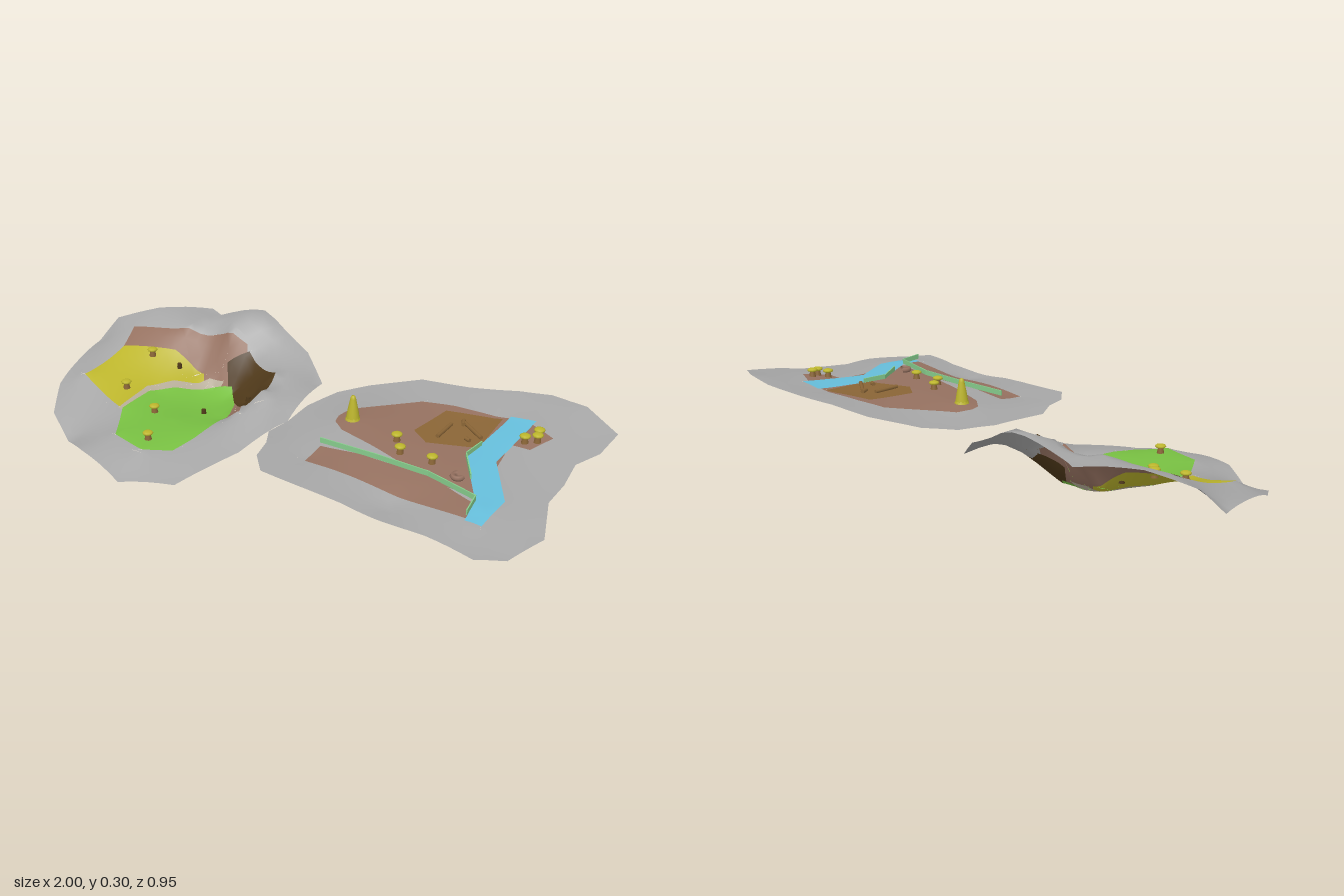
import * as THREE from 'three';

const mat = (name, color) => new THREE.MeshStandardMaterial({ name, color, side: THREE.DoubleSide });
const M = {
  rock: mat('rock grey', 0xa6a6a6), soil: mat('soil brown', 0x957160), dark: mat('dark earth', 0x4e3819),
  yellow: mat('straw yellow', 0xbcb52c), grass: mat('grass green', 0x78c042), water: mat('water blue', 0x66bedb),
  olive: mat('trodden earth', 0x8a6536), path: mat('path beige', 0xb6ac98), hedge: mat('hedge green', 0x86cc8c),
};

// Smooth height field through control points [x, y, z], using distance kernels
function heightField(points) {
  const n = points.length;
  const a = points.map(p => [...points.map(q => Math.hypot(p[0] - q[0], p[2] - q[2])), p[1] - 0.12]);
  for (let c = 0; c < n; c++) {
    let best = c;
    for (let r = c; r < n; r++) if (Math.abs(a[r][c]) > Math.abs(a[best][c])) best = r;
    [a[c], a[best]] = [a[best], a[c]];
    for (let r = 0; r < n; r++) {
      if (r === c) continue;
      const f = a[r][c] / a[c][c];
      for (let k = c; k <= n; k++) a[r][k] -= f * a[c][k];
    }
  }
  const w = a.map((row, i) => row[n] / row[i]);
  return (x, z) => points.reduce((s, p, i) => s + w[i] * Math.hypot(x - p[0], z - p[2]), 0.12);
}

const cross = (a, b, c) => (b[0] - a[0]) * (c[1] - a[1]) - (b[1] - a[1]) * (c[0] - a[0]);

// Halve the longest edge until all edges are short
function subdivide(t, limit, out) {
  const len = [0, 1, 2].map(i => Math.hypot(t[i][0] - t[(i + 1) % 3][0], t[i][1] - t[(i + 1) % 3][1]));
  const i = len.indexOf(Math.max(...len));
  if (len[i] < limit) { out.push(t); return; }
  const [p, q, r] = [t[i], t[(i + 1) % 3], t[(i + 2) % 3]];
  const m = [(p[0] + q[0]) / 2, (p[1] + q[1]) / 2];
  subdivide([p, m, r], limit, out);
  subdivide([m, q, r], limit, out);
}

// Part of a polygon on one side of the line a-b
function clip(poly, a, b, sign) {
  const out = [];
  poly.forEach((p, i) => {
    const q = poly[(i + 1) % poly.length];
    const dp = cross(a, b, p) * sign, dq = cross(a, b, q) * sign;
    if (dp >= 0) out.push(p);
    if (dp * dq < 0) {
      const t = dp / (dp - dq);
      out.push([p[0] + (q[0] - p[0]) * t, p[1] + (q[1] - p[1]) * t]);
    }
  });
  const area = out.reduce((s, p, i) => s + (i > 1 ? Math.abs(cross(out[0], out[i - 1], p)) : 0), 0);
  return area > 1e-8 ? out : null;
}

// Lay polygons on the height field as one smooth sheet
function sheet(name, polys, h, material) {
  const pos = [], nor = [], e = 0.006;
  for (const p of polys) {
    for (let i = 2; i < p.length; i++) {
      for (const [x, z] of [p[0], p[i - 1], p[i]]) {
        pos.push(x, h(x, z), z);
        const v = new THREE.Vector3(h(x - e, z) - h(x + e, z), 2 * e, h(x, z - e) - h(x, z + e)).normalize();
        nor.push(v.x, v.y, v.z);
      }
    }
  }
  const g = new THREE.BufferGeometry();
  g.setAttribute('position', new THREE.Float32BufferAttribute(pos, 3));
  g.setAttribute('normal', new THREE.Float32BufferAttribute(nor, 3));
  const mesh = new THREE.Mesh(g, material);
  mesh.name = name;
  return mesh;
}

// Terrain cut into convex coloured patches, earlier patches win
function terrain(name, outline, inner, patches) {
  const group = new THREE.Group();
  group.name = name;
  const h = heightField([...outline, ...inner]);
  const rim = outline.map(p => [p[0], p[2]]);
  let rest = [];
  for (const f of THREE.ShapeUtils.triangulateShape(rim.map(p => new THREE.Vector2(...p)), [])) {
    const t = f.map(i => rim[i]);
    if (cross(...t) > 0) t.reverse();
    subdivide(t, 0.06, rest);
  }
  for (const [label, material, shape] of patches) {
    const sign = Math.sign(shape.reduce((s, p, i) => s + cross([0, 0], p, shape[(i + 1) % shape.length]), 0));
    const inside = [], next = [];
    for (const piece of rest) {
      let cur = piece;
      const cut = [];
      for (let i = 0; i < shape.length && cur; i++) {
        const a = shape[i], b = shape[(i + 1) % shape.length];
        const off = clip(cur, a, b, -sign);
        if (off) cut.push(off);
        cur = clip(cur, a, b, sign);
      }
      if (cur) { inside.push(cur); next.push(...cut); } else next.push(piece);
    }
    rest = next;
    group.add(sheet(label, inside, h, material));
  }
  group.add(sheet(name + 'Rock', rest, h, M.rock));
  return { group, h };
}

function add(parent, name, geo, material, x, y, z) {
  const m = new THREE.Mesh(geo, material);
  m.name = name;
  m.position.set(x, y, z);
  parent.add(m);
  return m;
}

// Small tree: tapered trunk under a flat crown
function tree({ group, h }, x, z) {
  const y = h(x, z);
  add(group, 'trunk', new THREE.CylinderGeometry(0.008, 0.013, 0.024, 8), M.olive, x, y + 0.01, z);
  add(group, 'crown', new THREE.SphereGeometry(0.019, 10, 6).scale(1, 0.4, 1), M.yellow, x, y + 0.024, z);
}

function stump({ group, h }, x, z) {
  add(group, 'stump', new THREE.CylinderGeometry(0.008, 0.01, 0.018, 7), M.dark, x, h(x, z) + 0.007, z);
}

function log({ group, h }, x, z, length, angle) {
  const g = new THREE.CylinderGeometry(0.007, 0.007, length, 7).rotateX(Math.PI / 2);
  add(group, 'log', g, M.olive, x, h(x, z) + 0.006, z).rotation.y = angle;
}

// Upright ribbon along a ground path
function hedge({ group, h }, pts) {
  pts.slice(1).forEach((b, i) => {
    const a = pts[i], dx = b[0] - a[0], dz = b[1] - a[1];
    const x = (a[0] + b[0]) / 2, z = (a[1] + b[1]) / 2;
    const m = add(group, 'hedge', new THREE.BoxGeometry(Math.hypot(dx, dz), 0.018, 0.004), M.hedge, x, Math.max(h(x, z), 0.18) + 0.007, z);
    m.rotation.y = -Math.atan2(dz, dx);
  });
}

export function createModel() {
  const model = new THREE.Group();
  model.name = 'twoTerrains';

  // Hollow terrain with meadow, field and pit
  const valley = terrain('valley', [
    [-0.65, 0.25, -0.42], [-0.59, 0.25, -0.39], [-0.41, 0.3, -0.42], [-0.19, 0.205, -0.37], [-0.09, 0.13, -0.31],
    [-0.07, 0.1, -0.05], [-0.13, 0.06, 0.16], [-0.23, 0.015, 0.39], [-0.4, 0.015, 0.475], [-0.61, 0.04, 0.41],
    [-0.74, 0, 0.335], [-0.86, 0.05, 0.27], [-0.94, 0.09, 0.14], [-1, 0.13, -0.16], [-0.96, 0.21, -0.23], [-0.82, 0.255, -0.31],
  ], [
    [-0.47, 0.07, -0.17], [-0.33, 0.07, -0.1], [-0.295, 0.07, 0], [-0.305, 0.07, 0.18], [-0.41, 0.07, 0.335], [-0.55, 0.07, 0.3],
    [-0.64, 0.08, 0.15], [-0.62, 0.08, -0.02], [-0.45, 0.07, 0.1], [-0.83, 0.175, -0.1], [-0.66, 0.17, -0.17], [-0.86, 0.13, 0.09],
    [-0.2, 0.17, -0.085], [-0.225, 0.18, -0.21], [-0.36, 0.17, -0.27], [-0.24, 0.12, 0.01], [-0.28, 0.08, -0.12], [-0.38, 0.07, -0.17],
    [-0.85, 0.215, -0.19], [-0.64, 0.25, -0.26], [-0.47, 0.26, -0.29], [-0.55, 0.09, -0.18], [-0.4, 0.305, -0.38],
  ], [
    ['meadow', M.grass, [[-0.47, -0.17], [-0.4, -0.185], [-0.33, -0.1], [-0.295, -0.02], [-0.305, 0.18], [-0.325, 0.27],
      [-0.41, 0.335], [-0.55, 0.3], [-0.64, 0.15], [-0.635, 0], [-0.58, -0.08]]],
    ['pit', M.dark, [[-0.47, -0.215], [-0.385, -0.28], [-0.225, -0.21], [-0.2, -0.085], [-0.245, 0], [-0.3, -0.02], [-0.4, -0.16]]],
    ['footpath', M.path, [[-0.655, 0.16], [-0.655, -0.01], [-0.6, -0.1], [-0.5, -0.185], [-0.44, -0.19], [-0.5, 0.1]]],
    ['field', M.yellow, [[-0.83, -0.1], [-0.65, -0.18], [-0.53, -0.19], [-0.5, -0.15], [-0.6, 0.15], [-0.65, 0.15], [-0.86, 0.09]]],
    ['slope', M.soil, [[-0.85, -0.19], [-0.53, -0.28], [-0.4, -0.29], [-0.23, 0.01], [-0.29, 0.03], [-0.83, -0.1]]],
  ]);
  for (const [x, z] of [[-0.71, -0.12], [-0.7, 0.05], [-0.535, 0.1], [-0.43, 0.27]]) tree(valley, x, z);
  for (const [x, z] of [[-0.61, -0.15], [-0.4, -0.01], [-0.29, -0.13]]) stump(valley, x, z);

  // Gently tilted terrain with a river
  const bank = terrain('riverland', [
    [0.26, 0.2, -0.41], [0.43, 0.21, -0.425], [0.6, 0.225, -0.465], [0.715, 0.235, -0.48], [0.85, 0.24, -0.455], [0.99, 0.215, -0.375],
    [0.98, 0.2, -0.25], [0.935, 0.19, -0.16], [0.945, 0.175, -0.05], [0.94, 0.165, 0.055], [1, 0.145, 0.22], [0.95, 0.135, 0.365],
    [0.87, 0.145, 0.425], [0.7, 0.145, 0.39], [0.4, 0.15, 0.375], [0.095, 0.16, 0.36], [0.03, 0.16, 0.285], [0.01, 0.16, 0.2],
    [-0.03, 0.155, 0.125], [-0.015, 0.155, 0.03], [-0.015, 0.16, -0.09], [0.025, 0.165, -0.225], [0.105, 0.175, -0.315],
  ], [
    [0.19, 0.188, -0.05], [0.33, 0.19, -0.28], [0.44, 0.186, 0], [0.6, 0.195, -0.3], [0.6, 0.186, -0.1], [0.32, 0.18, 0.12],
    [0.6, 0.18, 0.12], [0.18, 0.155, 0.2], [0.5, 0.165, 0.21], [0.72, 0.18, 0.08], [0.79, 0.175, 0.2], [0.78, 0.205, -0.22],
    [0.52, 0.135, 0.3], [0.8, 0.165, 0.29],
  ], [
    ['riverUpper', M.water, [[0.64, -0.32], [0.73, -0.32], [0.715, -0.05], [0.62, -0.03]]],
    ['riverMiddle', M.water, [[0.62, -0.03], [0.715, -0.05], [0.83, 0.13], [0.755, 0.18]]],
    ['riverLower', M.water, [[0.755, 0.18], [0.83, 0.13], [0.825, 0.28], [0.77, 0.28]]],
    ['camp', M.olive, [[0.43, -0.26], [0.62, -0.3], [0.63, -0.1], [0.47, -0.04], [0.4, -0.09]]],
    ['frontStrip', M.soil, [[0.175, 0.13], [0.57, 0.125], [0.775, 0.2], [0.77, 0.27], [0.175, 0.225]]],
    ['plain', M.soil, [[0.13, -0.06], [0.14, -0.12], [0.33, -0.28], [0.44, -0.3], [0.65, -0.31], [0.72, -0.1], [0.76, 0.2], [0.6, 0.15], [0.32, 0.13], [0.14, -0.02]]],
    ['farBank', M.soil, [[0.72, -0.3], [0.82, -0.25], [0.78, -0.16], [0.715, -0.16]]],
  ]);
  for (const [x, z] of [[0.385, 0], [0.43, 0.06], [0.545, 0.06], [0.775, -0.24], [0.748, -0.19], [0.783, -0.21]]) tree(bank, x, z);
  hedge(bank, [[0.175, 0.13], [0.38, 0.125], [0.57, 0.13], [0.755, 0.18], [0.77, 0.27]]);
  hedge(bank, [[0.63, -0.12], [0.62, -0.03], [0.69, 0.08]]);
  log(bank, 0.488, -0.135, 0.1, 0);
  log(bank, 0.57, -0.18, 0.11, 0.95);
  log(bank, 0.52, -0.21, 0.03, 0.4);
  log(bank, 0.58, -0.12, 0.02, 1.2);

  // Tall rounded conifer
  const cone = [[0.023, 0], [0.018, 0.03], [0.01, 0.07], [0.007, 0.08], [0, 0.083]].map(p => new THREE.Vector2(...p));
  add(bank.group, 'conifer', new THREE.LatheGeometry(cone, 12), M.yellow, 0.19, bank.h(0.19, -0.05) + 0.004, -0.05);
  add(bank.group, 'coniferBase', new THREE.CylinderGeometry(0.022, 0.026, 0.01, 10), M.yellow, 0.19, bank.h(0.19, -0.05) + 0.003, -0.05);

  // Crescent mound by the river
  add(bank.group, 'mound', new THREE.TorusGeometry(0.016, 0.009, 6, 12, 4.2).rotateX(Math.PI / 2), M.soil, 0.655, bank.h(0.655, 0.1) + 0.01, 0.1);

  model.add(valley.group, bank.group);
  return model;
}
